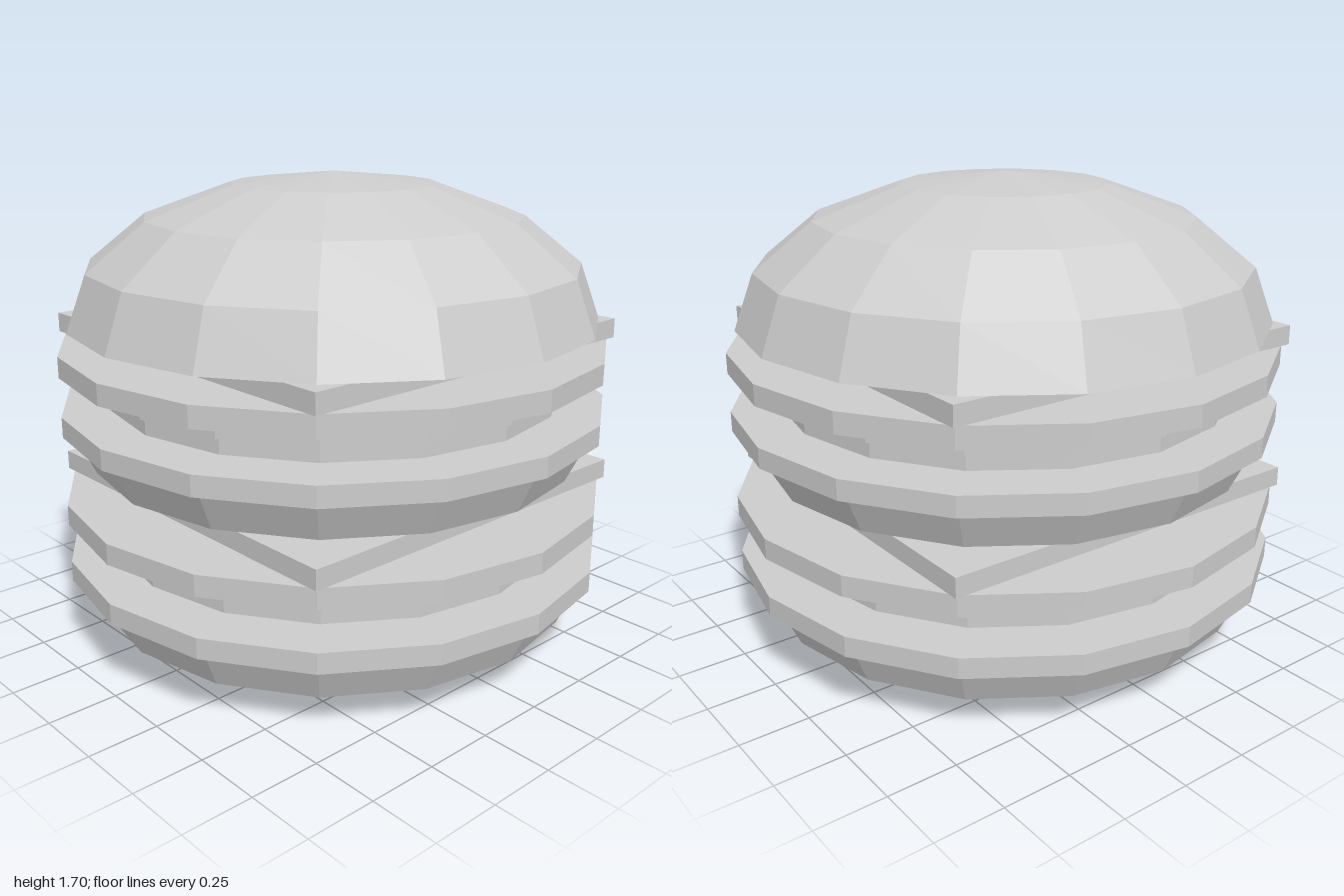
import * as THREE from 'three';

const SIDES = 16;
const grey = new THREE.MeshStandardMaterial({ color: 0xcccccc, flatShading: true });
grey.name = 'light grey';

function add(parent, name, geometry, y = 0) {
  const mesh = new THREE.Mesh(geometry, grey);
  mesh.name = name;
  mesh.position.y = y;
  parent.add(mesh);
  return mesh;
}

// Flat round slice between two heights
function slice(parent, name, radius, y0, y1) {
  add(parent, name, new THREE.CylinderGeometry(radius, radius, y1 - y0, SIDES), (y0 + y1) / 2);
}

// Turned part from [radius, height] pairs, bottom to top
function turned(parent, name, points) {
  const profile = points.map(([r, y]) => new THREE.Vector2(r, y));
  add(parent, name, new THREE.LatheGeometry(profile, SIDES));
}

// One storey: rounded bun base, fillings and a square of cheese
function createLayer(name, y) {
  const layer = new THREE.Group();
  layer.name = name;
  turned(layer, 'bunBase', [[0, 0], [0.36, 0.035], [0.68, 0.035], [0.89, 0.125], [0.96, 0.27], [0, 0.27]]);
  slice(layer, 'lowerLettuce', 1, 0.27, 0.343);
  slice(layer, 'patty', 0.83, 0.352, 0.41);
  slice(layer, 'tomato', 0.85, 0.41, 0.485);
  slice(layer, 'upperLettuce', 1, 0.485, 0.56);
  add(layer, 'cheese', new THREE.BoxGeometry(1.45, 0.07, 1.45), 0.597);
  layer.position.y = y;
  return layer;
}

export function createModel() {
  const burger = new THREE.Group();
  burger.name = 'doubleBurger';
  burger.add(createLayer('lowerLayer', 0), createLayer('upperLayer', 0.543));

  // Domed top bun with a flat underside
  const dome = [[0, 1.18]];
  for (let i = 0; i <= 4; i++) {
    const a = (i / 4) * Math.PI / 2;
    dome.push([i === 4 ? 0 : 0.965 * Math.cos(a), 1.18 + 0.52 * Math.sin(a)]);
  }
  turned(burger, 'topBun', dome);
  return burger;
}
